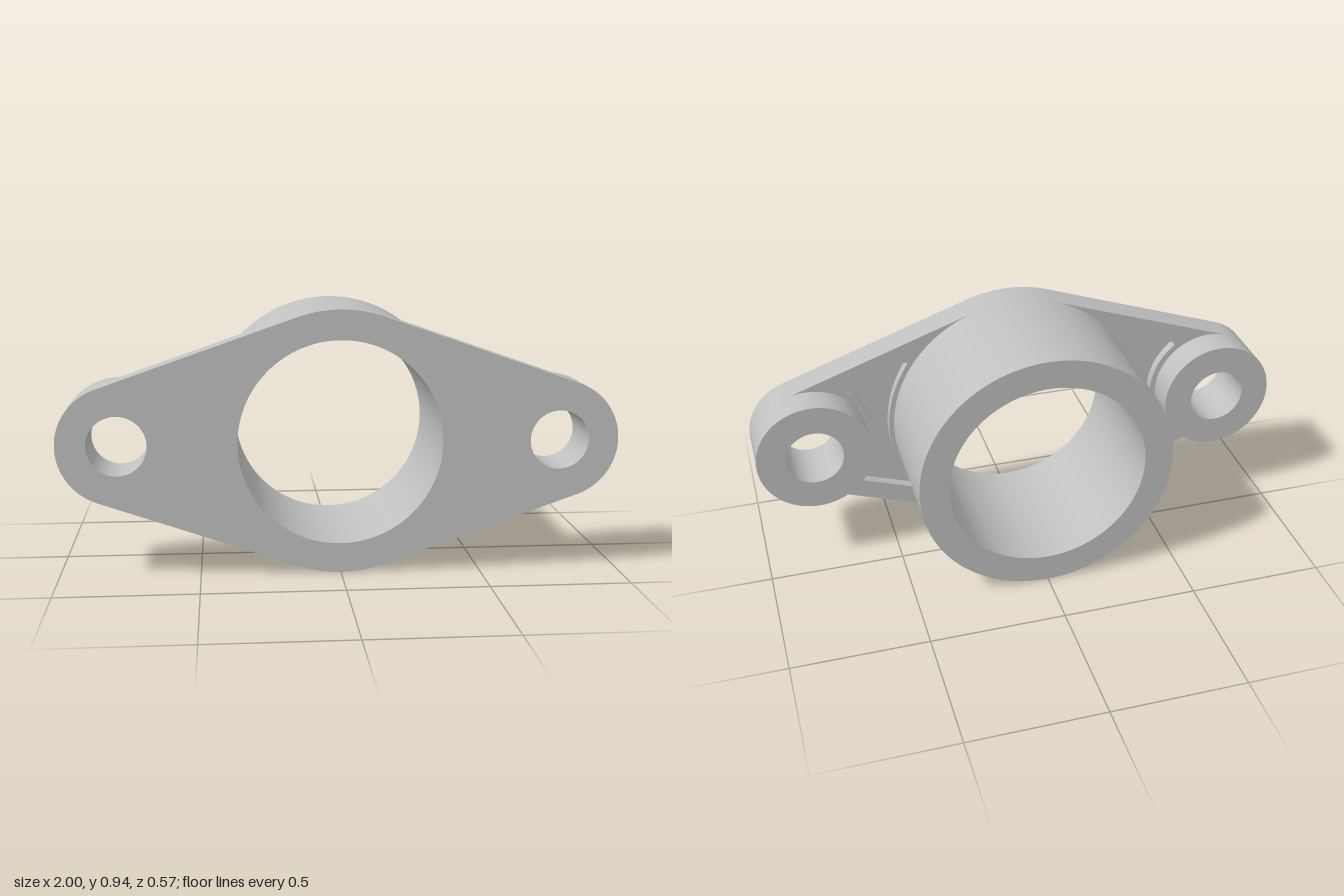
import * as THREE from 'three';
import { toCreasedNormals } from 'three/addons/utils/BufferGeometryUtils.js';

const CY = 0.472;              // height of the bore axis
const R = 0.472, BORE = 0.365; // barrel
const BX = 0.787, BR = 0.213, HOLE = 0.106; // bolt bosses
const FRONT = 0.283, FLOOR = 0.21, FLANGE = 0.175, BOSS = 0.06, BACK = -0.283;
const ALPHA = Math.acos((R - BR) / BX); // direction of the tangent edge's normal

const circle = (x, r, Type = THREE.Path) => new Type().absarc(x, 0, r, 0, Math.PI * 2, false);

function ring(x, outer, inner) {
  const s = circle(x, outer, THREE.Shape);
  s.holes.push(circle(x, inner));
  return s;
}

// Rhombic flange outline: large centre arc joined by tangents to the end arcs
function flangeShape() {
  const s = new THREE.Shape();
  s.absarc(BX, 0, BR, -ALPHA, ALPHA, false);
  s.absarc(0, 0, R, ALPHA, Math.PI - ALPHA, false);
  s.absarc(-BX, 0, BR, Math.PI - ALPHA, Math.PI + ALPHA, false);
  s.absarc(0, 0, R, Math.PI + ALPHA, Math.PI * 2 - ALPHA, false);
  s.closePath();
  s.holes.push(circle(0, BORE), circle(BX, HOLE), circle(-BX, HOLE));
  return s;
}

// Pocket between barrel, boss and flange edges, with rounded corners
function pocketPath(side) {
  const r1 = 0.49, r2 = 0.235, d = 0.4;
  const a1 = ALPHA - Math.acos(d / r1);
  const a2 = ALPHA + Math.acos((d - BX * Math.cos(ALPHA)) / r2);
  const onBarrel = a => new THREE.Vector2(r1 * Math.cos(a), r1 * Math.sin(a));
  const onBoss = a => new THREE.Vector2(BX + r2 * Math.cos(a), r2 * Math.sin(a));
  const A = onBarrel(a1), B = onBoss(a2);
  const round = (p, q, r) => new THREE.QuadraticBezierCurve(p, q, r).getPoints(6);
  const upper = [];
  for (let i = 0; i <= 16; i++) upper.push(onBarrel((a1 - 0.05) * i / 16));
  upper.push(...round(upper.pop(), A, A.clone().lerp(B, 0.09)));
  upper.push(...round(B.clone().lerp(A, 0.1), B, onBoss(a2 + 0.12)));
  for (let i = 1; i <= 12; i++) upper.push(onBoss(THREE.MathUtils.lerp(a2 + 0.12, Math.PI, i / 12)));
  const lower = upper.slice(1, -1).reverse().map(p => new THREE.Vector2(p.x, -p.y));
  return new THREE.Path([...upper, ...lower].map(p => new THREE.Vector2(p.x * side, p.y)));
}

export function createModel() {
  const group = new THREE.Group();
  group.name = 'flangedBearingHousing';
  const metal = new THREE.MeshStandardMaterial({ color: 0xc0c0c0 });
  metal.name = 'grey metal';

  const add = (name, shape, z0, z1) => {
    const geo = new THREE.ExtrudeGeometry(shape, { depth: z1 - z0, bevelEnabled: false, curveSegments: 64 });
    const mesh = new THREE.Mesh(toCreasedNormals(geo, 0.45), metal);
    mesh.name = name;
    mesh.position.set(0, CY, z0);
    group.add(mesh);
  };

  // Flange: solid front plate and a pocketed layer behind it
  add('flangePlate', flangeShape(), FLOOR, FRONT);
  const rim = flangeShape();
  rim.holes.push(pocketPath(1), pocketPath(-1));
  add('flangeRim', rim, FLANGE, FLOOR);

  // Barrel and bolt bosses standing out of the back
  add('barrel', ring(0, R, BORE), BACK, FLANGE);
  add('leftBoss', ring(BX, BR, HOLE), BOSS, FLANGE);
  add('rightBoss', ring(-BX, BR, HOLE), BOSS, FLANGE);

  return group;
}
